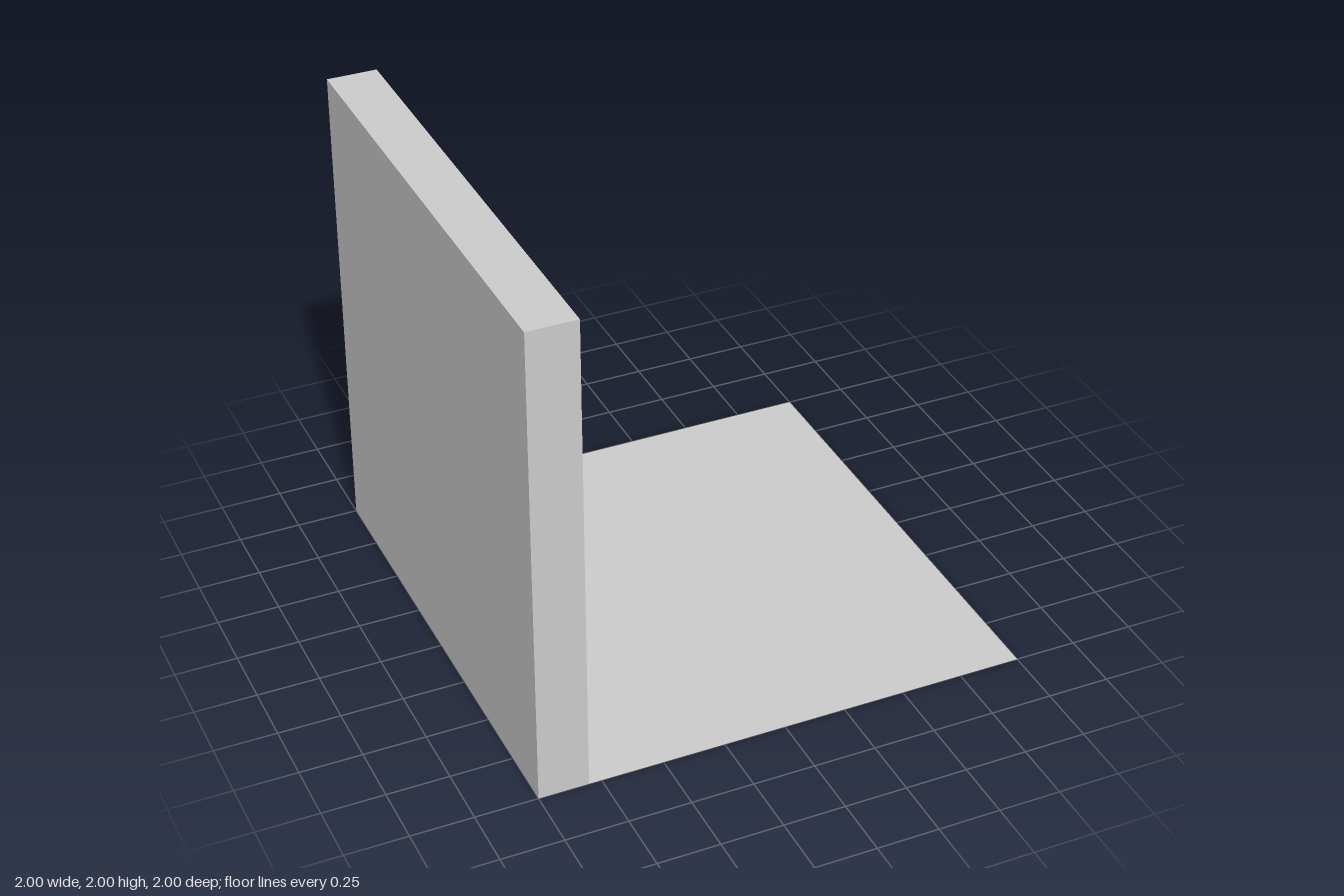
import * as THREE from 'three';

export function createModel() {
  const group = new THREE.Group();

  // Upright slab along the -x edge
  const wall = new THREE.Mesh(
    new THREE.BoxGeometry(0.2, 2, 2),
    new THREE.MeshStandardMaterial({ color: 0xcccccc })
  );
  wall.name = 'wall';
  wall.position.set(-0.9, 1, 0);
  group.add(wall);

  // Flat square sheet without thickness, seen from both sides
  const floor = new THREE.Mesh(
    new THREE.PlaneGeometry(2, 2).rotateX(-Math.PI / 2),
    new THREE.MeshStandardMaterial({ color: 0xcccccc, side: THREE.DoubleSide })
  );
  floor.name = 'floor';
  group.add(floor);

  return group;
}
